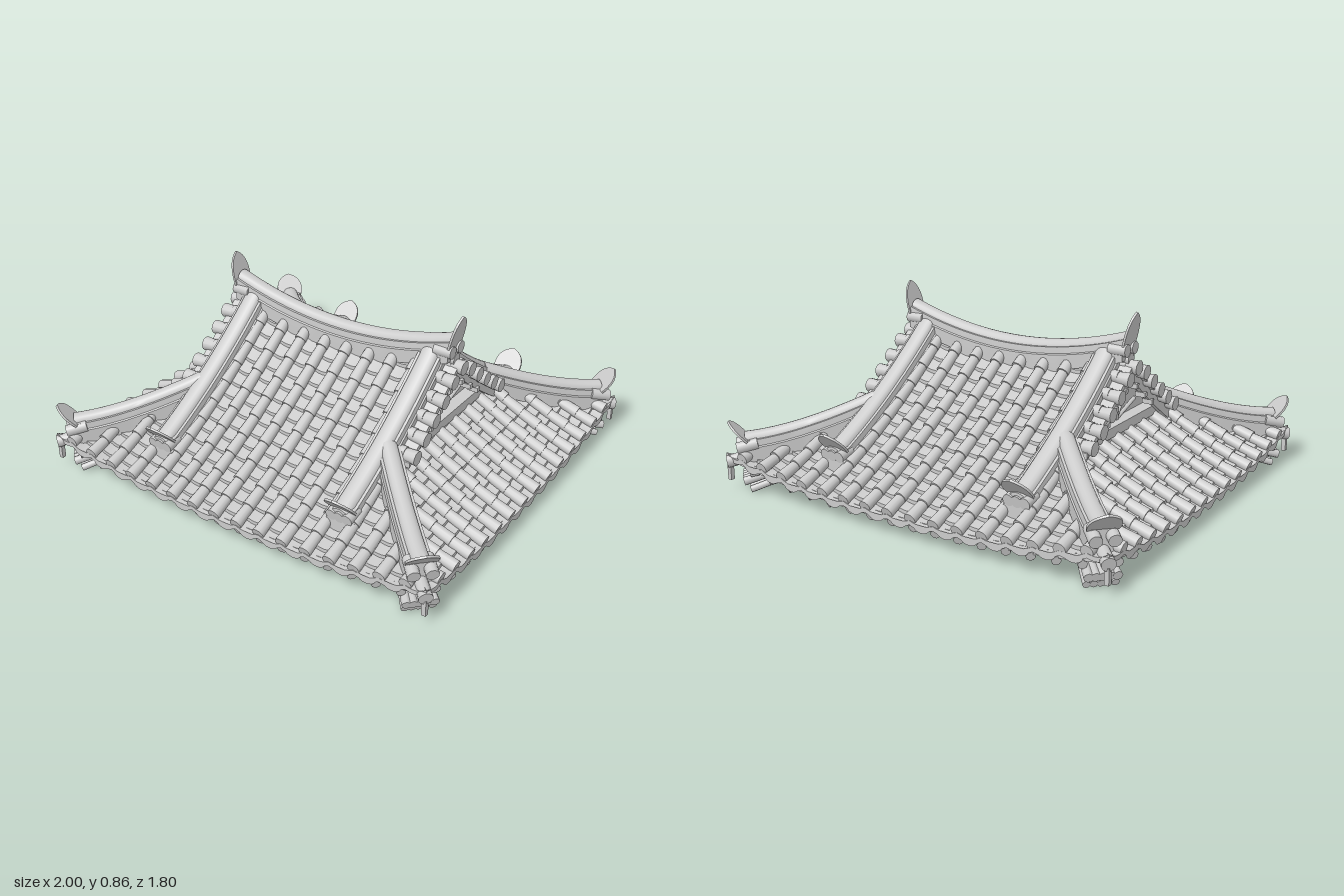
import * as THREE from 'three';
import { mergeGeometries, toCreasedNormals } from 'three/addons/utils/BufferGeometryUtils.js';

const EX = 0.98, EZ = 0.88, PITCH = 0.118, GABLE = 0.52;
const V = (x, y, z) => new THREE.Vector3(x, y, z);
const material = new THREE.MeshStandardMaterial({ color: 0xcccccc, side: THREE.DoubleSide });

// Roof height: concave slope by distance d from the eave, corners swept up, ridge sagging
const slope = d => 0.09 + 0.36 * d / EZ + 0.16 * (d / EZ) ** 2;
const lift = (x, z) => 0.085 * Math.pow(Math.abs(x) / EX * Math.abs(z) / EZ, 2.5);
const frontY = (x, z) => {
  const d = EZ - Math.abs(z);
  return slope(d) + lift(x, z) + 0.05 * Math.min(1, (x / 0.57) ** 2) * (d / EZ) ** 2;
};
// Ceiling: a shallow pyramid below the tiles
const ceilingY = (x, z) =>
  0.41 - 0.36 * Math.max(Math.abs(x) / EX, Math.abs(z) / EZ) + 0.85 * lift(x, z);

// Point on one of the four slopes: u along the eave, d up from the eave
function onSlope(side, sign, u, d, off = 0) {
  if (side) {
    d = Math.min(d, Math.max(0, EZ - Math.abs(u)));
    const x = sign * (EX - d);
    return V(x, slope(d) + lift(x, u) + off, u);
  }
  if (Math.abs(u) > GABLE) d = Math.min(d, Math.max(0, EX - Math.abs(u)));
  const z = sign * (EZ - d);
  return V(u, frontY(u, z) + off, z);
}

// Surface through rows of points
function grid(rows) {
  const pos = [], index = [], n = rows[0].length;
  rows.forEach(r => r.forEach(p => pos.push(p.x, p.y, p.z)));
  for (let i = 0; i < rows.length - 1; i++) for (let j = 0; j < n - 1; j++) {
    const a = i * n + j, b = a + n;
    index.push(a, b, a + 1, b, b + 1, a + 1);
  }
  const g = new THREE.BufferGeometry();
  g.setAttribute('position', new THREE.Float32BufferAttribute(pos, 3));
  g.setIndex(index);
  return toCreasedNormals(g, 0.6);
}

// Closed section [side, up] carried along a path, with end caps
function sweep(path, section) {
  const ring = [...section, section[0]];
  const rows = path.map((p, i) => {
    const t = path[Math.min(i + 1, path.length - 1)].clone().sub(path[Math.max(i - 1, 0)]);
    const s = V(-t.z, 0, t.x).normalize();
    return ring.map(([a, h]) => p.clone().addScaledVector(s, a).add(V(0, h, 0)));
  });
  const cap = row => {
    const c = V(0, 0, 0);
    row.slice(1).forEach(p => c.addScaledVector(p, 1 / (row.length - 1)));
    return row.map(() => c);
  };
  return grid([cap(rows[0]), ...rows, cap(rows[rows.length - 1])]);
}

// Round bar from a to b
function bar(a, b, ra, rb = ra, sides = 12) {
  const dir = b.clone().sub(a);
  const g = new THREE.CylinderGeometry(rb, ra, dir.length(), sides);
  g.applyQuaternion(new THREE.Quaternion().setFromUnitVectors(V(0, 1, 0), dir.normalize()));
  const c = a.clone().add(b).multiplyScalar(0.5);
  return g.translate(c.x, c.y, c.z);
}

const block = (w, h, d, x, y, z) => new THREE.BoxGeometry(w, h, d).translate(x, y, z);

// Pointed upright end plate, leaning outward
function endPlate(p, w, h, yaw, lean) {
  const s = new THREE.Shape();
  s.moveTo(-w * 0.45, 0);
  s.bezierCurveTo(-w * 0.55, h * 0.55, -w * 0.38, h * 0.85, 0, h);
  s.bezierCurveTo(w * 0.38, h * 0.85, w * 0.55, h * 0.55, w * 0.45, 0);
  const g = new THREE.ExtrudeGeometry(s, { depth: 0.01, bevelEnabled: false, curveSegments: 10 });
  return g.rotateX(lean).rotateY(yaw).translate(p.x, p.y, p.z);
}

// Ridge section: stacked courses with a round cover on top
function ridgeSection(w, h) {
  const pts = [[-w, -0.03], [-w, h * 0.35], [-w * 0.9, h * 0.4], [-w * 0.85, h * 0.7]];
  for (let i = 0; i <= 8; i++) {
    const a = Math.PI * (1 - i / 8);
    pts.push([Math.cos(a) * w * 0.65, h * 0.7 + Math.sin(a) * h * 0.3]);
  }
  return [...pts, [w * 0.85, h * 0.7], [w * 0.9, h * 0.4], [w, h * 0.35], [w, -0.03]];
}
const steps = (n, f) => Array.from({ length: n + 1 }, (_, i) => f(i / n));

export function createModel() {
  const group = new THREE.Group(), model = new THREE.Group();
  group.add(model);
  const add = (name, list) => {
    const geos = list.map(g => {
      const n = g.index ? g.toNonIndexed() : g;
      n.deleteAttribute('uv');
      return n;
    });
    const mesh = new THREE.Mesh(mergeGeometries(geos), material);
    mesh.name = name;
    model.add(mesh);
  };

  // Tiled slopes: round cover tiles, stepped pan tiles, drip tongues
  const covers = [], pans = [], drips = [], fascia = [];
  for (const side of [0, 1]) for (const sign of [-1, 1]) {
    const half = side ? EZ : EX, count = side ? 7 : 8;
    for (let k = -count; k < count; k++) {
      const u = (k + 0.5) * PITCH;
      const top = side ? Math.min(half - Math.abs(u), 0.46)
        : Math.abs(u) < GABLE ? EZ - 0.03 : half - Math.abs(u);
      for (let d = 0; d < top - 0.01; d += 0.088)
        covers.push(bar(onSlope(side, sign, u, d, 0.012),
          onSlope(side, sign, u, Math.min(d + 0.1, top), 0.006), 0.028, 0.024));
    }
    for (let k = -count; k <= count; k++) {
      const mid = k * PITCH;
      const a = Math.max(mid - PITCH / 2, -half), b = Math.min(mid + PITCH / 2, half);
      const rows = [], max = side ? 0.47 : EZ;
      for (let d = 0; d < max; d += 0.055)
        for (const [e, off] of [[d, -0.012], [d, 0.008], [Math.min(d + 0.055, max), -0.008]])
          rows.push(steps(6, t => onSlope(side, sign, a + (b - a) * t, e, off - 0.014 * Math.sin(Math.PI * t))));
      pans.push(grid(rows));
      if (Math.abs(k) === count) continue;
      const p = onSlope(side, sign, mid, 0, -0.002);
      drips.push(new THREE.CircleGeometry(0.045, 10, Math.PI, Math.PI).scale(1, 0.75, 1)
        .rotateY(side * Math.PI / 2).translate(p.x, p.y, p.z));
    }
    fascia.push(sweep(steps(24, t => onSlope(side, sign, (t * 2 - 1) * (half - 0.04), 0.035, -0.03)),
      [[-0.012, -0.015], [-0.012, 0.015], [0.012, 0.015], [0.012, -0.015]]));
  }
  add('coverTiles', covers);
  add('panTiles', pans);
  add('dripTiles', drips);
  add('eaveBoards', fascia);

  // Ceiling deck, fanned rafters and the purlin frame beneath
  add('ceilingDeck', [grid(steps(40, s => steps(40, t => {
    const x = (s * 2 - 1) * (EX - 0.03), z = (t * 2 - 1) * (EZ - 0.03);
    return V(x, ceilingY(x, z) + 0.014, z);
  })))]);
  const rafters = [];
  const rafter = (x, z) => {
    const pts = steps(4, t => {
      const k = 1 - t * 0.98;
      return V(x * k, ceilingY(x * k, z * k) - 0.004, z * k);
    });
    for (let i = 0; i < 4; i++) rafters.push(bar(pts[i], pts[i + 1], 0.02 - i * 0.003, 0.017 - i * 0.003, 8));
  };
  for (const s of [-1, 1]) {
    for (let k = -8; k < 8; k++) rafter((k + 0.5) * PITCH * 0.97, s * (EZ - 0.02));
    for (let k = -7; k < 7; k++) rafter(s * (EX - 0.02), (k + 0.5) * PITCH);
  }
  add('rafters', rafters);
  add('purlinFrame', [-1, 1].flatMap(s => [
    block(1.27, 0.05, 0.05, 0, 0.165, s * 0.51), block(0.05, 0.05, 1.07, s * 0.61, 0.165, 0)]));

  // Main ridge with its end plates and end tiles
  add('mainRidge', [sweep(steps(24, t => {
    const x = (t * 2 - 1) * 0.57;
    return V(x, 0.58 + 0.098 * (x / 0.57) ** 2, 0);
  }), ridgeSection(0.056, 0.097))]);
  const plates = [], endTiles = [], verge = [], hips = [], corner = [], gable = [];
  for (const sx of [-1, 1]) {
    plates.push(endPlate(V(sx * 0.562, 0.7, 0), 0.118, 0.166, sx * Math.PI / 2, 0.24));
    for (const [y, z] of [[0.695, 0.035], [0.695, -0.035], [0.65, 0]])
      endTiles.push(bar(V(sx * 0.5, y, z), V(sx * 0.585, y, z), 0.028));

    // Gable: wall, beam, struts, bargeboard and verge tiles
    gable.push(grid(steps(24, t => {
      const z = (t * 2 - 1) * 0.42, y = frontY(0.5, z) - 0.02;
      return [V(sx * 0.5, Math.min(0.28, y), z), V(sx * 0.5, y, z)];
    })));
    gable.push(block(0.06, 0.045, 0.6, sx * 0.53, 0.345, 0), block(0.02, 0.2, 0.016, sx * 0.515, 0.46, 0));
    for (const sz of [-1, 1]) {
      for (const [z, y] of [[0.09, 0.48], [0.18, 0.42]])
        gable.push(bar(V(sx * 0.51, 0.365, sz * 0.01), V(sx * 0.51, y, sz * z), 0.009, 0.009, 6));
      for (const [z, y] of [[0.05, 0.52], [0.13, 0.46], [0.2, 0.41]])
        gable.push(block(0.05, 0.022, 0.022, sx * 0.57, y, sz * z));
    }
    const vergeLine = x => steps(24, t => V(sx * x, frontY(0.5, (t * 2 - 1) * 0.4), (t * 2 - 1) * 0.4));
    gable.push(sweep(vergeLine(0.57), [[-0.012, -0.075], [-0.012, -0.02], [0.012, -0.02], [0.012, -0.075]]));
    gable.push(sweep(vergeLine(0.55), [[-0.055, -0.025], [-0.055, 0], [0.055, 0], [0.055, -0.025]]));
    for (let k = -5; k <= 5; k++) {
      const z = k * 0.074, y = frontY(0.5, z) - (k ? 0.005 : 0.03);
      gable.push(bar(V(sx * 0.47, y + 0.012, z), V(sx * 0.57, y + 0.006, z), 0.025, 0.029));
      gable.push(bar(V(sx * 0.56, y + 0.003, z), V(sx * 0.626, y, z), 0.027, 0.033));
    }

    for (const sz of [-1, 1]) {
      // Descending verge ridge
      verge.push(sweep(steps(14, t => {
        const z = 0.03 + 0.7 * t;
        return V(sx * 0.48, frontY(0.48, z), sz * z);
      }), ridgeSection(0.064, 0.095)));
      plates.push(endPlate(V(sx * 0.48, 0.245, sz * 0.695), 0.14, 0.122, sz > 0 ? 0 : Math.PI, 0.75));
      for (const o of [-0.038, 0, 0.038])
        endTiles.push(bar(V(sx * 0.48 + o, 0.235, sz * 0.66), V(sx * 0.48 + o, 0.222, sz * 0.735), 0.026));

      // Diagonal hip ridge with corner tiles
      const hip = (d, y, o = 0) => V(sx * (EX - d + o), y, sz * (EZ - d - o));
      hips.push(sweep(steps(14, t => {
        const d = 0.47 - 0.41 * t;
        return hip(d, slope(d) + lift(EX - d, EZ - d));
      }), ridgeSection(0.056, 0.1)));
      plates.push(endPlate(hip(0.07, 0.245), 0.14, 0.118, Math.atan2(sx, sz), 0.75));
      for (const o of [-0.026, 0.026])
        endTiles.push(bar(hip(0.1, 0.23, o), hip(0.035, 0.21, o), 0.027));
      corner.push(bar(hip(0.09, 0.165), hip(0.001, 0.14), 0.026, 0.03));

      // Bundle of corner rafters in two layers, and a hanging corner plate
      for (const o of [-0.04, -0.02, 0, 0.02, 0.04]) {
        corner.push(bar(hip(0.07, 0.02, o), hip(0.3, 0.12, o * 0.6), 0.016, 0.014, 8));
        corner.push(bar(hip(0.05, 0.06, o), hip(0.3, 0.15, o * 0.6), 0.02, 0.016, 8));
      }
      corner.push(block(0.02, 0.07, 0.02, sx * 0.97, 0.09, sz * 0.87));
    }
  }
  add('endPlates', plates);
  add('ridgeEndTiles', endTiles);
  add('vergeRidges', verge);
  add('hipRidges', hips);
  add('cornerRafters', corner);
  add('gables', gable);

  // Rest on the ground
  model.position.y = -new THREE.Box3().setFromObject(model).min.y;
  return group;
}
